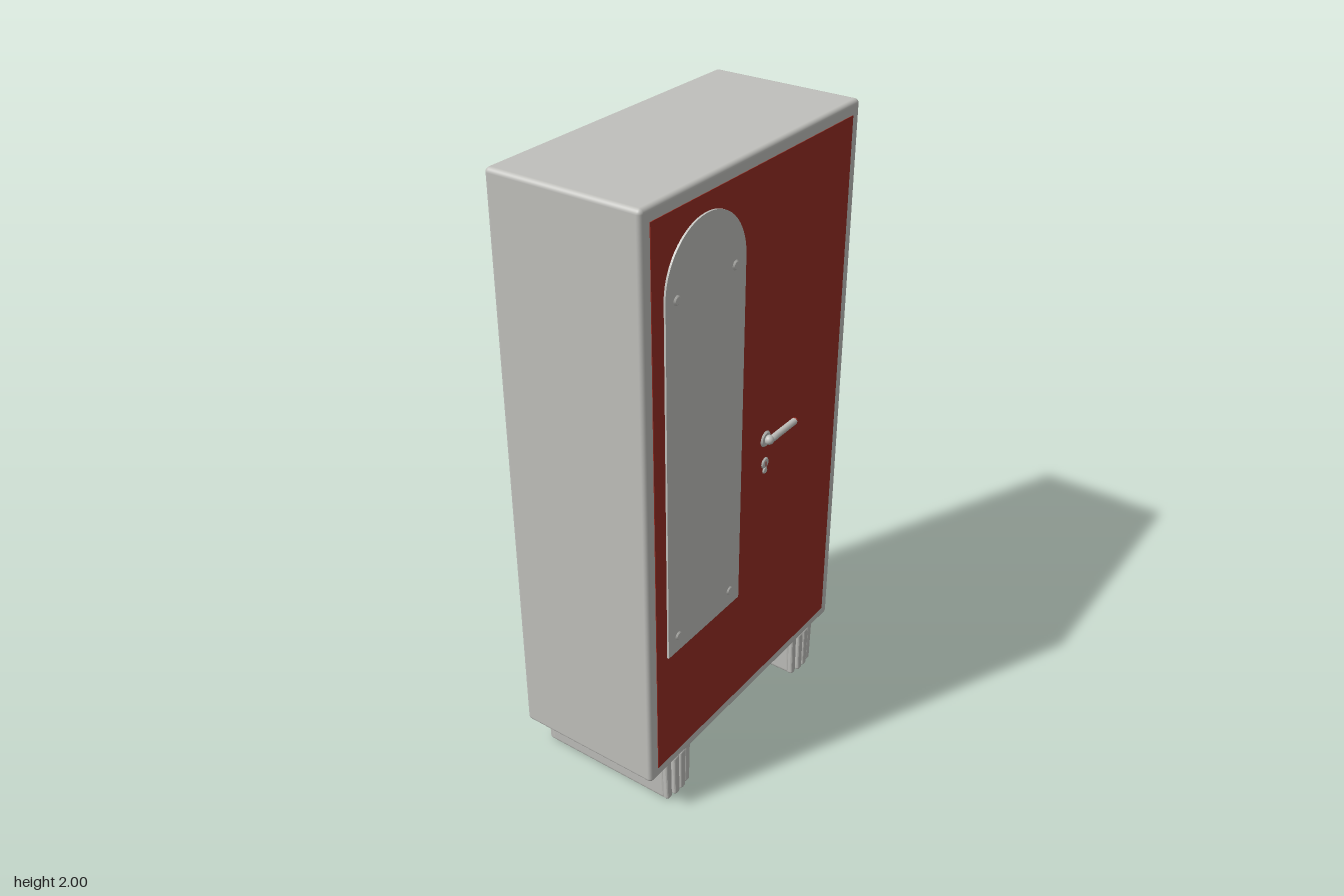
import * as THREE from 'three';
import { RoundedBoxGeometry } from 'three/addons/geometries/RoundedBoxGeometry.js';

const material = (name, color) => {
  const m = new THREE.MeshStandardMaterial({ color });
  m.name = name;
  return m;
};

export function createModel() {
  const grey = material('grey metal', 0xc0c0bc);
  const red = material('red paint', 0x962d23);
  const model = new THREE.Group();
  model.name = 'wardrobe';

  const add = (parent, name, geometry, mat, x = 0, y = 0, z = 0) => {
    const mesh = new THREE.Mesh(geometry, mat);
    mesh.name = name;
    mesh.position.set(x, y, z);
    parent.add(mesh);
    return mesh;
  };
  const rounded = (w, h, d, r) => new RoundedBoxGeometry(w, h, d, 3, r);
  // Short round part whose axis points to the front
  const disc = (r1, r2, depth) => new THREE.CylinderGeometry(r1, r2, depth, 24).rotateX(Math.PI / 2);

  // Cabinet and door panel
  const front = 0.233;
  add(model, 'cabinet', rounded(1.03, 1.85, 0.495, 0.014), grey, 0, 1.075, front - 0.2475);
  add(model, 'door', new THREE.BoxGeometry(0.955, 1.77, 0.004), red, -0.002, 1.075, front);

  // Arched mirror plate with four screws
  const arch = new THREE.Shape();
  arch.moveTo(-0.18, 0.59);
  arch.lineTo(0.18, 0.59);
  arch.lineTo(0.18, 1.73);
  arch.absarc(0, 1.73, 0.18, 0, Math.PI, false);
  arch.closePath();
  const plate = new THREE.ExtrudeGeometry(arch, { depth: 0.008, bevelEnabled: false, curveSegments: 32 });
  add(model, 'mirrorPlate', plate, grey, -0.25, 0, front);
  for (const x of [-0.382, -0.12])
    for (const y of [0.645, 1.72])
      add(model, 'mirrorScrew', disc(0.01, 0.016, 0.005), grey, x, y, 0.2425);

  // Lever handle with rosette and red end
  const handle = new THREE.Group();
  handle.name = 'doorHandle';
  model.add(handle);
  add(handle, 'rosette', disc(0.022, 0.027, 0.006), grey, 0.066, 1.09, 0.237);
  const path = new THREE.CatmullRomCurve3([
    [0.066, 1.09, 0.235], [0.067, 1.09, 0.245], [0.08, 1.091, 0.251],
    [0.11, 1.091, 0.251], [0.202, 1.091, 0.251],
  ].map((p) => new THREE.Vector3(...p)));
  add(handle, 'lever', new THREE.TubeGeometry(path, 32, 0.011, 12), grey);
  add(handle, 'leverHub', new THREE.SphereGeometry(0.015, 20, 12), grey, 0.068, 1.09, 0.247);
  add(handle, 'leverEnd', new THREE.CylinderGeometry(0.011, 0.011, 0.006, 12).rotateZ(Math.PI / 2), red, 0.203, 1.091, 0.251);

  // Keyhole cover: round top, narrow tail and red slot
  const lock = new THREE.Group();
  lock.name = 'lock';
  model.add(lock);
  add(lock, 'lockCover', disc(0.015, 0.019, 0.005), grey, 0.066, 1.006, 0.237);
  add(lock, 'lockTail', disc(0.009, 0.012, 0.005), grey, 0.066, 0.98, 0.237);
  add(lock, 'keySlot', new THREE.BoxGeometry(0.005, 0.016, 0.002), red, 0.066, 1.004, 0.2395);

  // Feet run front to back, with ribbed ends and slightly tapered sides
  const taper = (geometry, x) => {
    geometry.translate(x, 0.08, 0);
    const p = geometry.attributes.position;
    for (let i = 0; i < p.count; i++) p.setX(i, p.getX(i) * (0.92 + 0.5 * p.getY(i)));
    geometry.computeVertexNormals();
    return geometry;
  };
  for (const side of [-1, 1]) {
    const foot = new THREE.Group();
    foot.name = side > 0 ? 'leftFoot' : 'rightFoot';
    foot.position.set(side * 0.364, 0, -0.0145);
    model.add(foot);
    add(foot, 'footCore', taper(rounded(0.132, 0.16, 0.465, 0.014), 0), grey);
    for (const x of [-0.05, -0.0165, 0.0165, 0.05]) {
      const depth = Math.abs(x) > 0.03 ? 0.484 : 0.497;
      add(foot, 'footRib', taper(rounded(0.028, 0.16, depth, 0.009), x), grey);
    }
  }
  return model;
}
